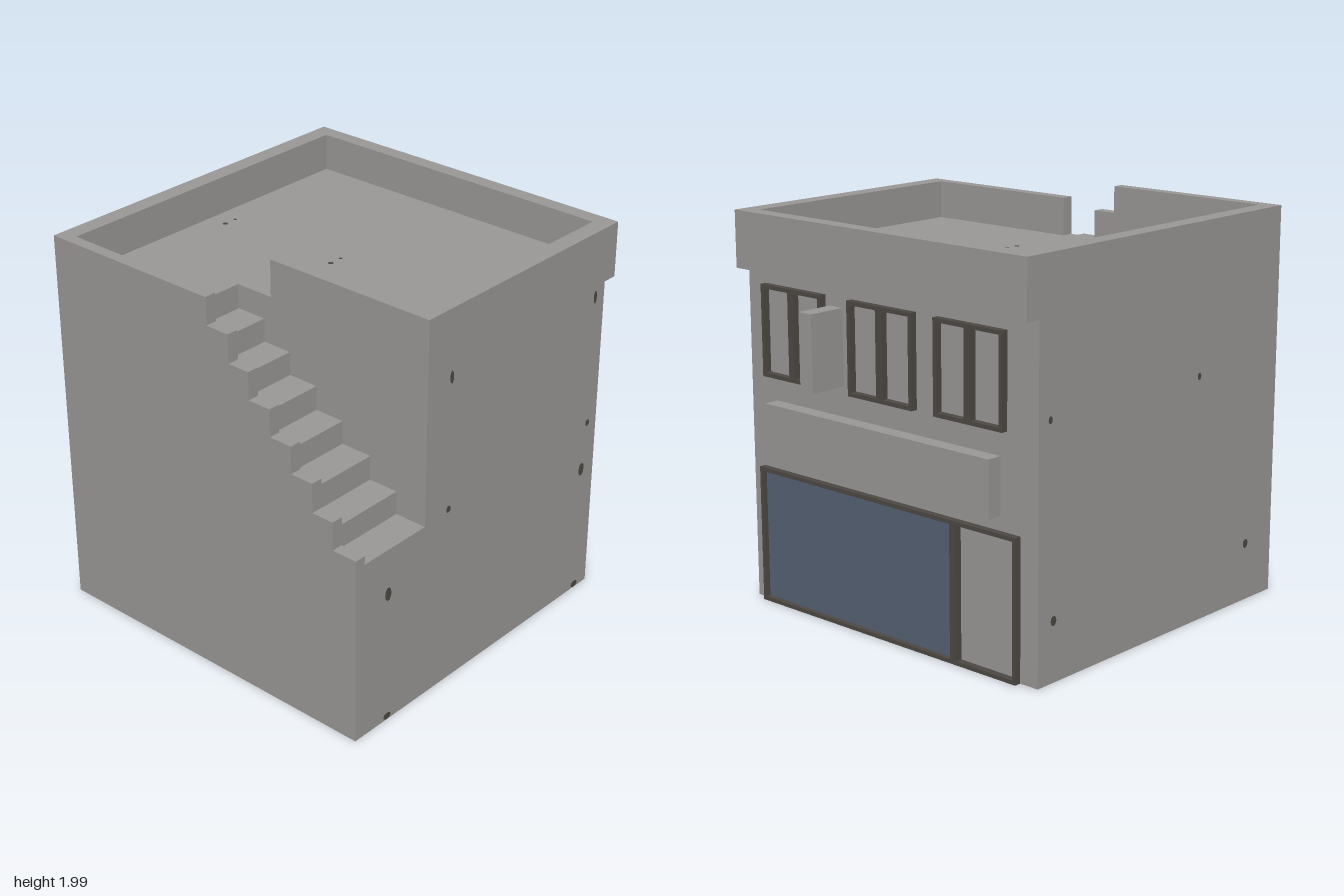
import * as THREE from 'three';

export function createModel() {
  const model = new THREE.Group();
  model.name = 'shopHouse';
  const mat = (name, color) => {
    const m = new THREE.MeshStandardMaterial({ color });
    m.name = name;
    return m;
  };
  const concrete = mat('concrete grey', 0x999896);
  const dark = mat('dark frame', 0x4d4842);
  const blue = mat('shop glass blue', 0x566172);

  const add = (name, geometry, material, parent = model) => {
    const mesh = new THREE.Mesh(geometry, material);
    mesh.name = name;
    parent.add(mesh);
    return mesh;
  };
  // Box given by its limits on each axis
  const box = (name, [x0, x1], [y0, y1], [z0, z1], material = concrete, parent = model) => {
    const g = new THREE.BoxGeometry(x1 - x0, y1 - y0, z1 - z0);
    g.translate((x0 + x1) / 2, (y0 + y1) / 2, (z0 + z1) / 2);
    return add(name, g, material, parent);
  };
  // Side profile of steps rising toward the back, extruded across x
  const stepped = (name, [x0, x1], edges, heights) => {
    const s = new THREE.Shape();
    s.moveTo(-0.94, 0);
    s.lineTo(0.94, 0);
    heights.forEach((h, i) => {
      s.lineTo(i ? edges[i - 1] : 0.94, h);
      s.lineTo(i < edges.length ? edges[i] : -0.94, h);
    });
    const g = new THREE.ExtrudeGeometry(s, { depth: x1 - x0, bevelEnabled: false });
    g.rotateY(-Math.PI / 2).translate(x1, 0, 0);
    add(name, g, concrete);
  };

  // Main block, staircase and stepped outer wall
  const floor = 1.795, top = 1.985;
  box('mainBlock', [-0.525, 0.8], [0, floor], [-0.94, 0.94]);
  stepped('staircase', [-0.94, -0.525],
    [0.77, 0.61, 0.44, 0.28, 0.115, -0.045, -0.21],
    [0.94, 1.06, 1.185, 1.305, 1.43, 1.55, 1.67, floor]);
  stepped('steppedWall', [-1, -0.94],
    [0.805, 0.685, 0.56, 0.435, 0.31, 0.19, 0.06],
    [0.985, 1.13, 1.28, 1.42, 1.56, 1.70, 1.845, top]);

  // Parapet around the roof
  box('backParapet', [-0.94, 0.8], [floor, top], [-0.94, -0.85]);
  box('frontParapet', [-0.465, 0.8], [floor, top], [0.85, 0.94]);
  box('stairParapet', [-0.525, -0.465], [floor, top], [0, 0.94]);
  box('overhangParapet', [0.8, 0.88], [1.70, top], [-0.94, 0.94]);

  // Facade blocks
  box('signBand', [0.8, 0.88], [0.77, 1.05], [-0.715, 0.76]);
  box('bladeSign', [0.8, 1], [1.2, 1.58], [0.285, 0.37]);

  // Rectangular frame standing on the facade
  const frame = (name, [y0, y1], [z0, z1], parent, w = 0.02) => {
    const g = new THREE.Group();
    g.name = name;
    parent.add(g);
    const x = [0.8, 0.835];
    box('sill', x, [y0, y0 + w], [z0, z1], dark, g);
    box('head', x, [y1 - w, y1], [z0, z1], dark, g);
    box('jamb', x, [y0 + w, y1 - w], [z0, z0 + w], dark, g);
    box('jamb', x, [y0 + w, y1 - w], [z1 - w, z1], dark, g);
  };

  // Three double windows
  for (const z of [0.61, 0.012, -0.545]) {
    const win = new THREE.Group();
    win.name = 'window';
    model.add(win);
    frame('backSash', [1.17, 1.63], [z - 0.21, z], win);
    frame('frontSash', [1.17, 1.63], [z, z + 0.21], win);
  }

  // Shop front and door
  const shop = new THREE.Group();
  shop.name = 'shopFront';
  model.add(shop);
  frame('shopWindowFrame', [0, 0.7], [-0.45, 0.865], shop);
  frame('doorFrame', [0, 0.7], [-0.835, -0.45], shop);
  box('shopGlass', [0.802, 0.81], [0.02, 0.68], [-0.43, 0.845], blue, shop);

  // Small dark fixings on walls and roof
  const spot = (x, y, z, w, h, rx, ry) => {
    const m = add('fixing', new THREE.CircleGeometry(1, 10).scale(w, h, 1), dark);
    m.position.set(x, y, z);
    m.rotation.set(rx, ry, 0);
  };
  for (const x of [-0.36, 0.725]) {
    spot(x, 1.645, 0.943, 0.013, 0.034, 0, 0);
    spot(x, 0.96, 0.943, 0.016, 0.018, 0, 0);
    spot(x, 1.24, -0.943, 0.014, 0.018, 0, Math.PI);
  }
  for (const x of [-0.78, 0.697]) {
    spot(x, 0.705, 0.943, 0.022, 0.036, 0, 0);
    spot(x, 0.022, 0.943, 0.026, 0.018, 0, 0);
    spot(x, 0.3, -0.943, 0.02, 0.024, 0, Math.PI);
  }
  for (const z of [-0.74, -0.038]) {
    spot(-0.07, floor + 0.003, z, 0.014, 0.014, -Math.PI / 2, 0);
    spot(0, floor + 0.003, z, 0.009, 0.009, -Math.PI / 2, 0);
  }
  return model;
}
